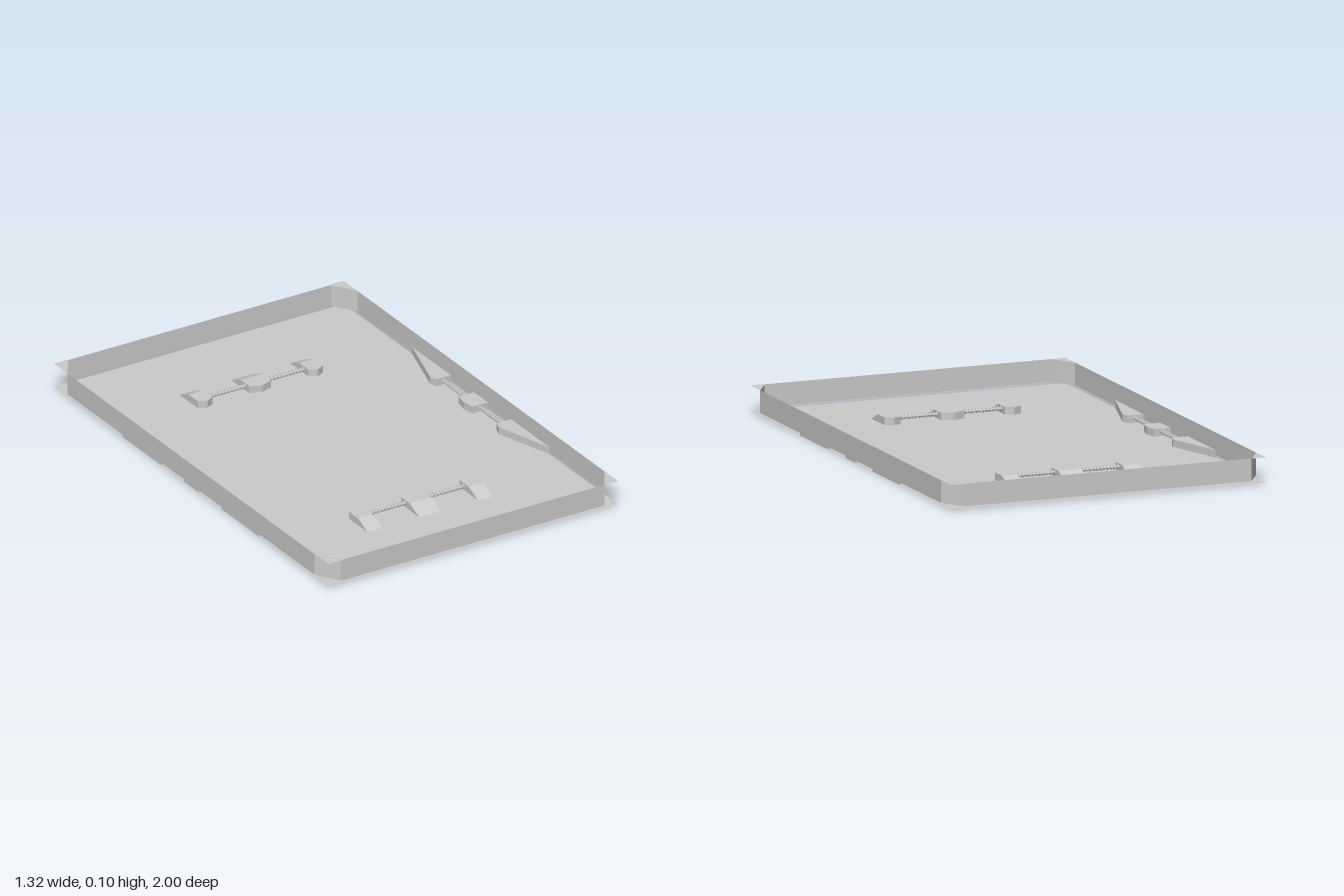
import * as THREE from 'three';

const HALF_X = 0.66, HALF_Z = 1, TOP = 0.1, WALL_BASE = 0.01, BLOCK_H = 0.03;

const solid = new THREE.MeshStandardMaterial({ color: 0xcccccc, flatShading: true });
const sheet = new THREE.MeshStandardMaterial({ color: 0xcccccc, flatShading: true, side: THREE.DoubleSide });

function add(parent, name, geometry, material = solid) {
  const mesh = new THREE.Mesh(geometry, material);
  mesh.name = name;
  parent.add(mesh);
  return mesh;
}

// Flat outline in (x, z), optionally raised into a block standing on the floor
function planShape(points) {
  return new THREE.Shape(points.map(([x, z]) => new THREE.Vector2(x, z)));
}
function planBlock(points, height) {
  return new THREE.ExtrudeGeometry(planShape(points), { depth: height, bevelEnabled: false })
    .rotateX(Math.PI / 2).translate(0, height, 0);
}

// Wedge that falls from full height at z0 to the floor at z1
function ramp(x, halfWidth, z0, z1) {
  const profile = planShape([[z0, 0], [z1, 0], [z0, BLOCK_H]]);
  return new THREE.ExtrudeGeometry(profile, { depth: halfWidth * 2, bevelEnabled: false })
    .rotateY(-Math.PI / 2).translate(x + halfWidth, 0, 0);
}

// Thin rod along x with a row of small collars
function ribbedRod(length) {
  const group = new THREE.Group();
  group.name = 'ribbedRod';
  add(group, 'rod', new THREE.CylinderGeometry(0.005, 0.005, length, 8).rotateZ(Math.PI / 2));
  const count = 12;
  for (let i = 0; i < count; i++) {
    const collar = add(group, 'rodCollar', new THREE.CylinderGeometry(0.009, 0.009, 0.006, 8).rotateZ(Math.PI / 2));
    collar.position.x = -length / 2 + (i + 0.5) * length / count;
  }
  return group;
}

// Perimeter wall: one upright sheet around the chamfered outline
function perimeterWall() {
  const x = HALF_X, z = HALF_Z - 0.004, cx = 0.6, cz = 0.9;
  const loop = [[x, -cz], [x, cz], [cx, z], [-cx, z], [-x, cz], [-x, -cz], [-cx, -z], [cx, -z]];
  const positions = [];
  loop.forEach(([ax, az], i) => {
    const [bx, bz] = loop[(i + 1) % loop.length];
    positions.push(ax, WALL_BASE, az, ax, TOP, az, bx, TOP, bz);
    positions.push(ax, WALL_BASE, az, bx, TOP, bz, bx, WALL_BASE, bz);
  });
  const geometry = new THREE.BufferGeometry();
  geometry.setAttribute('position', new THREE.Float32BufferAttribute(positions, 3));
  geometry.computeVertexNormals();
  return geometry;
}

// Front row: three nosed ramps joined by two rods
function endBarrier() {
  const group = new THREE.Group();
  group.name = 'endBarrier';
  for (const [x, w] of [[-0.252, 0.033], [0, 0.049], [0.252, 0.033]]) {
    add(group, 'rampNose', planBlock(
      [[x - w, 0.617], [x - w, 0.55], [x - w * 0.1, 0.536], [x + w * 0.1, 0.536], [x + w, 0.55], [x + w, 0.617]], BLOCK_H));
    add(group, 'rampSlope', ramp(x, w, 0.617, 0.685));
  }
  for (const side of [-1, 1]) {
    const rod = ribbedRod(0.175);
    rod.position.set(side * 0.134, 0.018, 0.583);
    group.add(rod);
  }
  return group;
}

// Side row: a centre block, two long wedges against the wall and two rods
function sideBarrier() {
  const group = new THREE.Group();
  group.name = 'sideBarrier';
  const wall = HALF_X;
  add(group, 'centreBlock', planBlock(
    [[wall, -0.05], [0.59, -0.05], [0.582, 0], [0.59, 0.05], [wall, 0.05]], BLOCK_H));
  for (const side of [-1, 1]) {
    add(group, 'wallWedge', planBlock(
      [[wall, 0.22 * side], [0.594, 0.22 * side], [0.585, 0.25 * side], [wall, 0.5 * side]], BLOCK_H));
    const rod = ribbedRod(0.17);
    rod.rotation.y = Math.PI / 2;
    rod.position.set(0.624, 0.018, side * 0.135);
    group.add(rod);
  }
  return group;
}

export function createModel() {
  const model = new THREE.Group();
  model.name = 'walledArena';

  add(model, 'floor', new THREE.PlaneGeometry(HALF_X * 2, HALF_Z * 2).rotateX(-Math.PI / 2), sheet);
  add(model, 'perimeterWall', perimeterWall(), sheet);

  // Small caps filling the four cut corners at wall height
  for (const sx of [-1, 1]) for (const sz of [-1, 1]) {
    const cap = planShape([[sx * HALF_X, sz * HALF_Z], [sx * 0.6, sz * HALF_Z], [sx * HALF_X, sz * 0.9]]);
    add(model, 'cornerCap', new THREE.ShapeGeometry(cap).rotateX(Math.PI / 2), sheet).position.y = TOP;
  }

  // Barriers repeat on the opposite end and side
  for (const angle of [0, Math.PI]) {
    for (const build of [endBarrier, sideBarrier]) {
      const barrier = build();
      barrier.rotation.y = angle;
      model.add(barrier);
    }
  }
  return model;
}
